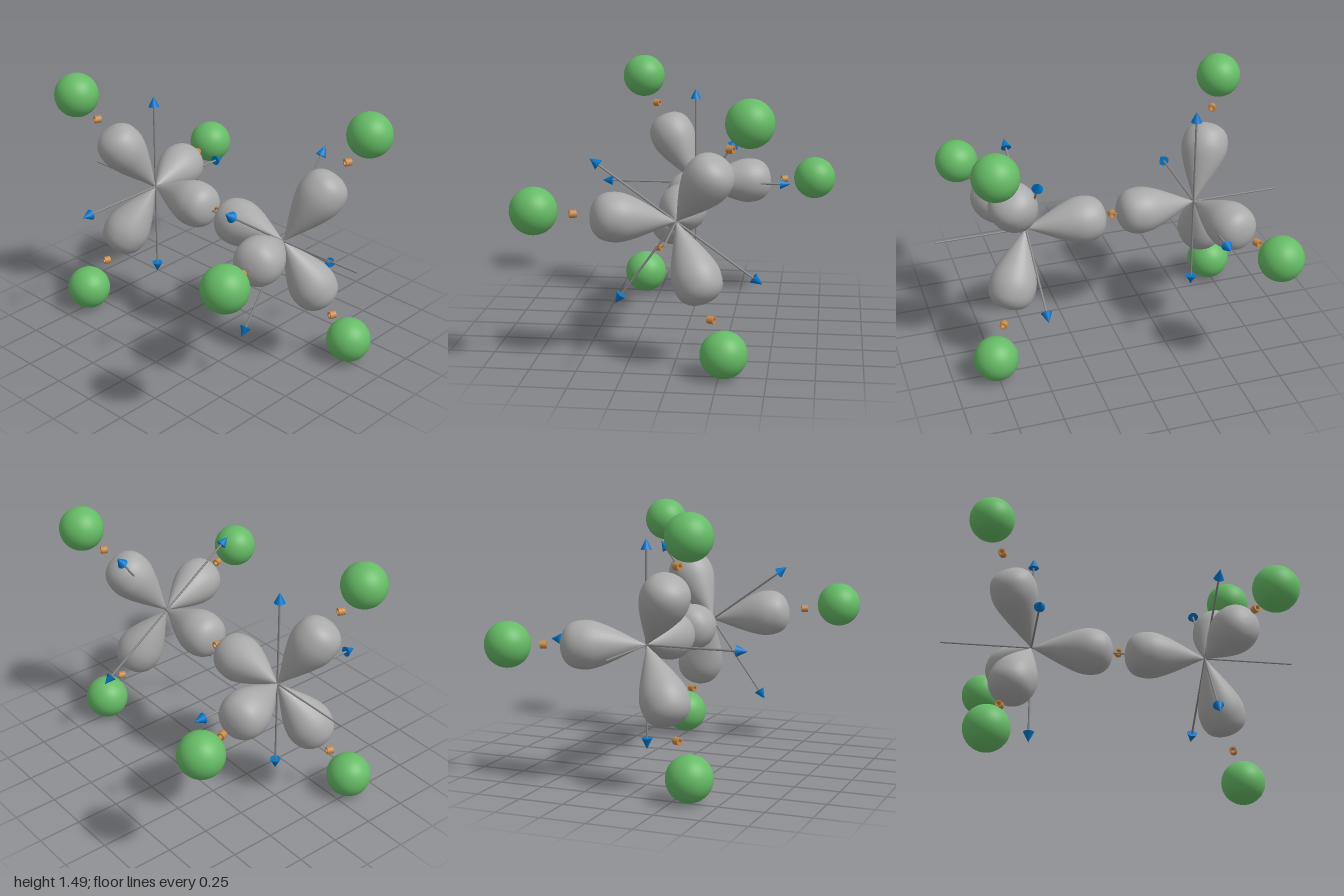
import * as THREE from 'three';

const material = (name, color) => {
  const m = new THREE.MeshStandardMaterial({ color });
  m.name = name;
  return m;
};

export function createModel() {
  const grey = material('lobe grey', 0xaaaaaa);
  const darkGrey = material('axis grey', 0x888888);
  const green = material('sphere green', 0x66bb66);
  const blue = material('arrow blue', 0x0077cc);
  const bronze = material('marker bronze', 0xc88a48);

  const model = new THREE.Group();
  model.name = 'molecularOrbitals';
  const UP = new THREE.Vector3(0, 1, 0);
  const add = (parent, name, geometry, mat) => {
    const mesh = new THREE.Mesh(geometry, mat);
    mesh.name = name;
    parent.add(mesh);
    return mesh;
  };

  // Teardrop lobe, pointed at the origin and rounded at the far end
  const profile = new THREE.SplineCurve([
    [0, 0], [0.035, 0.07], [0.07, 0.14], [0.102, 0.21], [0.125, 0.275],
    [0.132, 0.33], [0.122, 0.39], [0.094, 0.43], [0.05, 0.453], [0, 0.46],
  ].map(([x, y]) => new THREE.Vector2(x, y))).getPoints(36);
  profile.forEach((p) => { p.x = Math.max(p.x, 0); });
  const lobeGeo = new THREE.LatheGeometry(profile, 36);

  // Short ring marking each bond
  const ringShape = new THREE.Shape().absarc(0, 0, 0.021, 0, Math.PI * 2);
  ringShape.holes.push(new THREE.Path().absarc(0, 0, 0.012, 0, Math.PI * 2, true));
  const ringGeo = new THREE.ExtrudeGeometry(ringShape, {
    depth: 0.036, bevelEnabled: false, curveSegments: 10,
  });
  ringGeo.translate(0, 0, -0.018);
  ringGeo.rotateY(Math.PI / 2);

  const sphereGeo = new THREE.SphereGeometry(0.125, 40, 28);
  const rodGeo = new THREE.CylinderGeometry(0.006, 0.006, 1.02, 10);
  const coneGeo = new THREE.ConeGeometry(0.03, 0.06, 20);

  // Axis rod with an arrowhead at both ends
  const addAxis = (parent, name, angle) => {
    const axis = new THREE.Group();
    axis.name = name;
    axis.rotation.z = angle;
    add(axis, 'axisRod', rodGeo, darkGrey);
    for (const s of [1, -1]) {
      const cone = add(axis, 'arrowhead', coneGeo, blue);
      cone.position.y = s * 0.535;
      if (s < 0) cone.rotation.x = Math.PI;
    }
    parent.add(axis);
  };

  // Each centre: its twist about z and its three outer spheres
  const centres = [
    { name: 'frontCentre', z: 0.495, twist: -0.625,
      spheres: [[0.4, 1.335, 0.735], [-0.71, 0.86, 0.73], [0.277, 0.13, 0.757]] },
    { name: 'backCentre', z: -0.495, twist: 0,
      spheres: [[-0.345, 1.367, -0.757], [0.705, 0.76, -0.728], [-0.34, 0.133, -0.737]] },
  ];

  for (const { name, z, twist, spheres } of centres) {
    const group = new THREE.Group();
    group.name = name;
    group.position.set(0, 0.765, z);
    model.add(group);

    addAxis(group, 'verticalAxis', twist);
    addAxis(group, 'crossAxis', twist + Math.PI / 2);

    // Lobe reaching towards the other centre
    const inner = add(group, 'innerLobe', lobeGeo, grey);
    inner.quaternion.setFromUnitVectors(UP, new THREE.Vector3(0, 0, -Math.sign(z)));

    for (const p of spheres) {
      const offset = new THREE.Vector3(...p).sub(group.position);
      const dir = offset.clone().normalize();
      add(group, 'outerSphere', sphereGeo, green).position.copy(offset);
      add(group, 'outerLobe', lobeGeo, grey).quaternion.setFromUnitVectors(UP, dir);
      const ring = add(group, 'bondRing', ringGeo, bronze);
      ring.position.copy(dir).multiplyScalar(0.55);
      ring.rotation.y = -Math.sign(dir.x * dir.z) * 0.4;
    }
  }

  // Shared long axis and the ring at its middle
  const longAxis = add(model, 'longAxis', new THREE.CylinderGeometry(0.005, 0.005, 2, 10), darkGrey);
  longAxis.position.y = 0.765;
  longAxis.rotation.x = Math.PI / 2;
  add(model, 'middleRing', ringGeo, bronze).position.set(0.018, 0.777, 0);

  return model;
}
